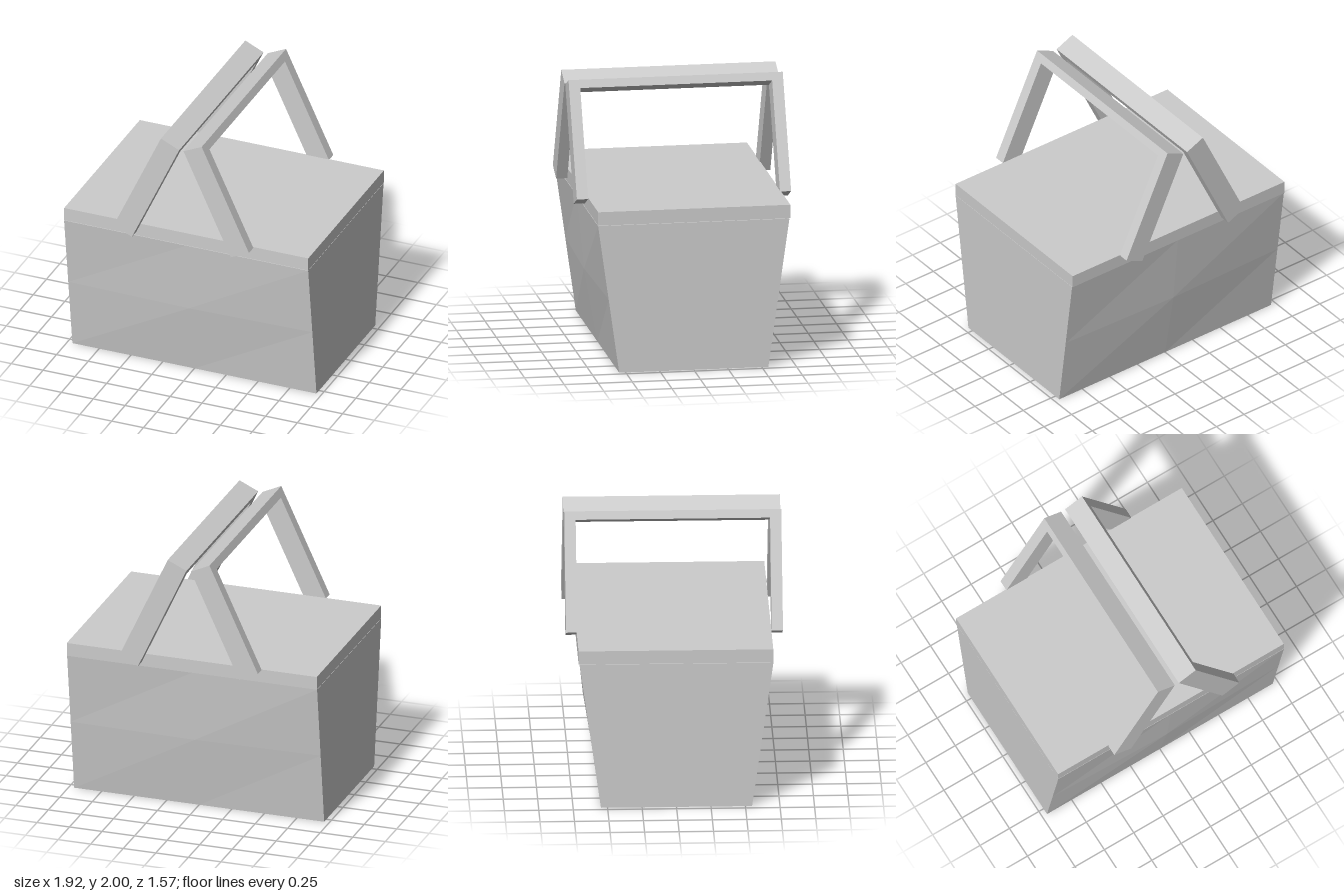
import * as THREE from 'three';

const material = new THREE.MeshStandardMaterial({ color: 0xcccccc, flatShading: true });

function box(name, w, h, d, x, y, z) {
  const mesh = new THREE.Mesh(new THREE.BoxGeometry(w, h, d), material);
  mesh.name = name;
  mesh.position.set(x, y, z);
  return mesh;
}

// Tapered body: narrow at the base, long sides bulging slightly at their centre
function createBody() {
  const height = 1.1;
  const geo = new THREE.BoxGeometry(1.92, height, 2, 2, 2, 1);
  geo.translate(0, height / 2, 0);
  const pos = geo.attributes.position;
  for (let i = 0; i < pos.count; i++) {
    const t = pos.getY(i) / height;
    const isCentre = Math.abs(pos.getX(i)) < 0.01 && Math.abs(t - 0.5) < 0.01;
    const half = 0.548 + 0.155 * t + (isCentre ? 0.022 : 0);
    pos.setZ(i, Math.sign(pos.getZ(i)) * half);
  }
  geo.computeVertexNormals();
  const body = new THREE.Mesh(geo, material);
  body.name = 'basketBody';
  return body;
}

// U-shaped handle leaning towards the middle of the basket
function createHandle(name, x, lean) {
  const length = 0.883, width = 0.158, outer = 0.787, inner = 0.705, bar = 0.062;
  const handle = new THREE.Group();
  handle.name = name;
  for (const side of [-1, 1]) {
    handle.add(box(side > 0 ? 'frontArm' : 'backArm', width, length, outer - inner,
      0, 0, side * (outer + inner) / 2));
  }
  handle.add(box('gripBar', width, bar, inner * 2, 0, (length - bar) / 2, 0));
  handle.position.set(x, 1.565, 0);
  handle.rotation.z = lean;
  return handle;
}

export function createModel() {
  const basket = new THREE.Group();
  basket.name = 'picnicBasket';
  const lean = THREE.MathUtils.degToRad(24.9);
  basket.add(
    createBody(),
    box('lid', 1.92, 0.1, 1.412, 0, 1.153, -0.004),
    createHandle('rightHandle', -0.277, -lean),
    createHandle('leftHandle', 0.272, lean),
  );
  return basket;
}
